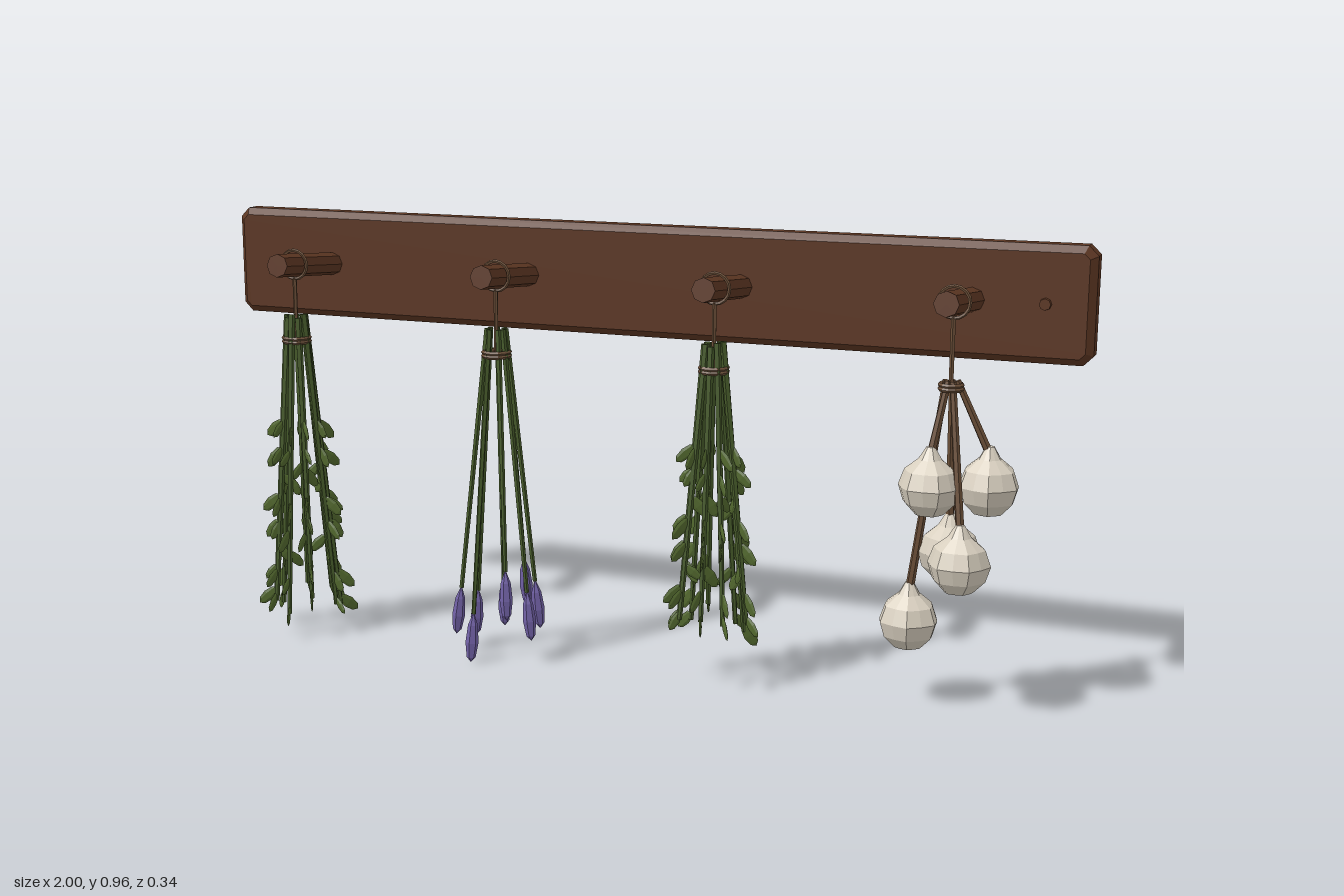
import * as THREE from 'three';
import { mergeGeometries } from 'three/addons/utils/BufferGeometryUtils.js';

const paint = (name, color) => {
  const m = new THREE.MeshStandardMaterial({ color, flatShading: true });
  m.name = name;
  return m;
};
const V = (x, y, z) => new THREE.Vector3(x, y, z);
const UP = V(0, 1, 0);
const HANG_Z = 0.065, PEG_Y = 0.855, TIE_Y = 0.685;

// Small seeded generator for natural variation
function seeded(s) {
  return () => (s = (s * 16807) % 2147483647) / 2147483647;
}

// Tapered rod from a to b
function rod(a, b, ra, rb, sides = 6) {
  const d = b.clone().sub(a);
  const g = new THREE.CylinderGeometry(rb, ra, d.length(), sides);
  g.applyQuaternion(new THREE.Quaternion().setFromUnitVectors(UP, d.normalize()));
  const mid = a.clone().add(b).multiplyScalar(0.5);
  return g.translate(mid.x, mid.y, mid.z);
}

export function createModel() {
  const wood = paint('darkWood', 0x5c3622);
  const stemGreen = paint('stemGreen', 0x465a2a);
  const leafGreen = paint('leafGreen', 0x52682e);
  const purple = paint('lavenderPurple', 0x7060a4);
  const twine = paint('twine', 0x6b4f38);
  const cream = paint('garlicCream', 0xd9d0c0);

  const root = new THREE.Group();
  root.name = 'herbDryingRack';
  const add = (parent, name, geo, mat) => {
    const m = new THREE.Mesh(geo, mat);
    m.name = name;
    parent.add(m);
    return m;
  };

  // Chamfered back board
  const w = 0.985, h = 0.108, c = 0.012, bevel = 0.015;
  const outline = new THREE.Shape([
    [-w + c, -h], [w - c, -h], [w, -h + c], [w, h - c],
    [w - c, h], [-w + c, h], [-w, h - c], [-w, -h + c],
  ].map(([x, y]) => new THREE.Vector2(x, y)));
  const board = new THREE.ExtrudeGeometry(outline, {
    depth: 0.035, bevelEnabled: true, bevelThickness: bevel, bevelSize: bevel, bevelSegments: 1,
  });
  add(root, 'board', board.translate(0, 0.833, -0.156), wood);

  // Wooden plugs near the board ends
  for (const x of [-0.9, 0.9])
    add(root, 'plug', rod(V(x, 0.835, -0.12), V(x, 0.835, -0.098), 0.015, 0.012, 8), wood);

  // Peg with hanging loop, cord and tie for each bundle
  function hanger(name, x) {
    const g = new THREE.Group();
    g.name = name;
    g.position.set(x, 0, HANG_Z);
    root.add(g);
    add(g, 'peg', rod(V(0, 0.835, -0.18), V(0, 0.861, 0.073), 0.026, 0.026, 8), wood);
    add(g, 'loop', new THREE.TorusGeometry(0.032, 0.004, 5, 16).translate(0, PEG_Y, 0), twine);
    add(g, 'cord', rod(V(0, PEG_Y - 0.03, 0), V(0, TIE_Y, 0), 0.005, 0.005, 5), twine);
    return g;
  }
  function tie(g, r) {
    for (const dy of [-0.004, 0.004]) {
      const ring = new THREE.TorusGeometry(r, 0.005, 5, 12).rotateX(Math.PI / 2);
      add(g, 'tie', ring.translate(0, TIE_Y + dy, 0), twine);
    }
  }

  // Stems fanning downward; returns their end points
  function fan(g, count, rnd, reach, low, high) {
    const lines = [], parts = [];
    for (let i = 0; i < count; i++) {
      const ang = (i + 0.35 * rnd()) / count * Math.PI * 2;
      const r = reach * (0.75 + 0.25 * rnd());
      const a = V(Math.cos(ang) * 0.02, 0.735 + 0.01 * rnd(), Math.sin(ang) * 0.02);
      const b = V(Math.cos(ang) * r, low + (high - low) * rnd(), Math.sin(ang) * r);
      lines.push({ a, b, ang });
      parts.push(rod(a, b, 0.008, 0.0055, 5));
    }
    add(g, 'stems', mergeGeometries(parts), stemGreen);
    return lines;
  }

  // Leafy herb: flat drooping leaves pointing away from each stem
  function herb(name, x, seed, low, high) {
    const g = hanger(name, x), rnd = seeded(seed), leaves = [];
    tie(g, 0.029);
    for (const { a, b, ang } of fan(g, 9, rnd, 0.083, low, high)) {
      for (let k = 0; k < 8; k++) {
        const t = 0.36 + k * 0.086 + 0.02 * rnd();
        const p = a.clone().lerp(b, t);
        const size = 0.85 + 0.35 * rnd();
        const leaf = new THREE.SphereGeometry(1, 6, 4).scale(0.012 * size, 0.026 * size, 0.0035);
        leaf.translate(0, -0.024 * size, 0);
        leaf.rotateZ(0.45 + 0.45 * rnd());
        const inward = k % 3 === 2 ? 2.4 : 0;
        leaf.rotateY(-ang + inward + (rnd() - 0.5) * 0.9);
        leaves.push(leaf.translate(p.x, p.y, p.z));
      }
    }
    add(g, 'leaves', mergeGeometries(leaves), leafGreen);
  }
  herb('leafyHerbLeft', -0.75, 4211, 0.04, 0.11);
  herb('leafyHerbRight', 0.25, 9137, 0.1, 0.16);

  // Lavender: bare stems with spindle-shaped flower heads
  const lavender = hanger('lavender', -0.25);
  tie(lavender, 0.029);
  const ends = [
    [-0.085, 0.15, 0.02], [-0.07, 0.13, -0.035], [-0.03, 0.11, 0.073], [-0.02, 0.15, -0.065],
    [0.035, 0.21, -0.055], [0.075, 0.17, -0.025], [0.08, 0.16, 0.03], [0.04, 0.21, 0.055],
  ];
  const stalks = [], heads = [];
  const spindle = [[0, 0], [0.01, 0.012], [0.0145, 0.045], [0.011, 0.085], [0, 0.115]]
    .map(([r, y]) => new THREE.Vector2(r, y));
  for (const [ex, ey, ez] of ends) {
    const b = V(ex, ey, ez);
    const a = V(ex, 0, ez).setLength(0.02).setY(0.74);
    stalks.push(rod(a, b, 0.0065, 0.005, 5));
    const head = new THREE.LatheGeometry(spindle, 6).translate(0, -0.115, 0);
    head.applyQuaternion(new THREE.Quaternion().setFromUnitVectors(UP, a.clone().sub(b).normalize()));
    heads.push(head.translate(b.x, b.y + 0.005, b.z));
  }
  add(lavender, 'stems', mergeGeometries(stalks), stemGreen);
  add(lavender, 'flowerHeads', mergeGeometries(heads), purple);

  // Garlic: lobed bulbs on dried stems
  const garlic = hanger('garlic', 0.75);
  tie(garlic, 0.022);
  const profile = [[0, -0.062], [0.03, -0.06], [0.054, -0.035], [0.064, -0.003],
    [0.052, 0.03], [0.024, 0.053], [0.009, 0.078], [0, 0.08]].map(([r, y]) => new THREE.Vector2(r, y));
  const bulbs = [
    [-0.03, 0.487, 0.028], [0.08, 0.487, -0.02], [0, 0.337, -0.04], [0.04, 0.337, 0.048], [-0.075, 0.187, -0.02],
  ];
  bulbs.forEach(([x, y, z], i) => {
    const geo = new THREE.LatheGeometry(profile, 12);
    const p = geo.attributes.position;
    for (let k = 0; k < p.count; k++) {
      const lobe = 0.97 + 0.04 * Math.cos(6 * Math.atan2(p.getZ(k), p.getX(k)));
      p.setXYZ(k, p.getX(k) * lobe, p.getY(k), p.getZ(k) * lobe);
    }
    geo.computeVertexNormals();
    add(garlic, 'bulb', geo.rotateY(i * 0.7).translate(x, y, z), cream);
    const top = V(x * 0.15, TIE_Y + 0.012, z * 0.25);
    add(garlic, 'driedStem', rod(top, V(x, y + 0.06, z), 0.007, 0.009, 6), twine);
  });

  return root;
}
